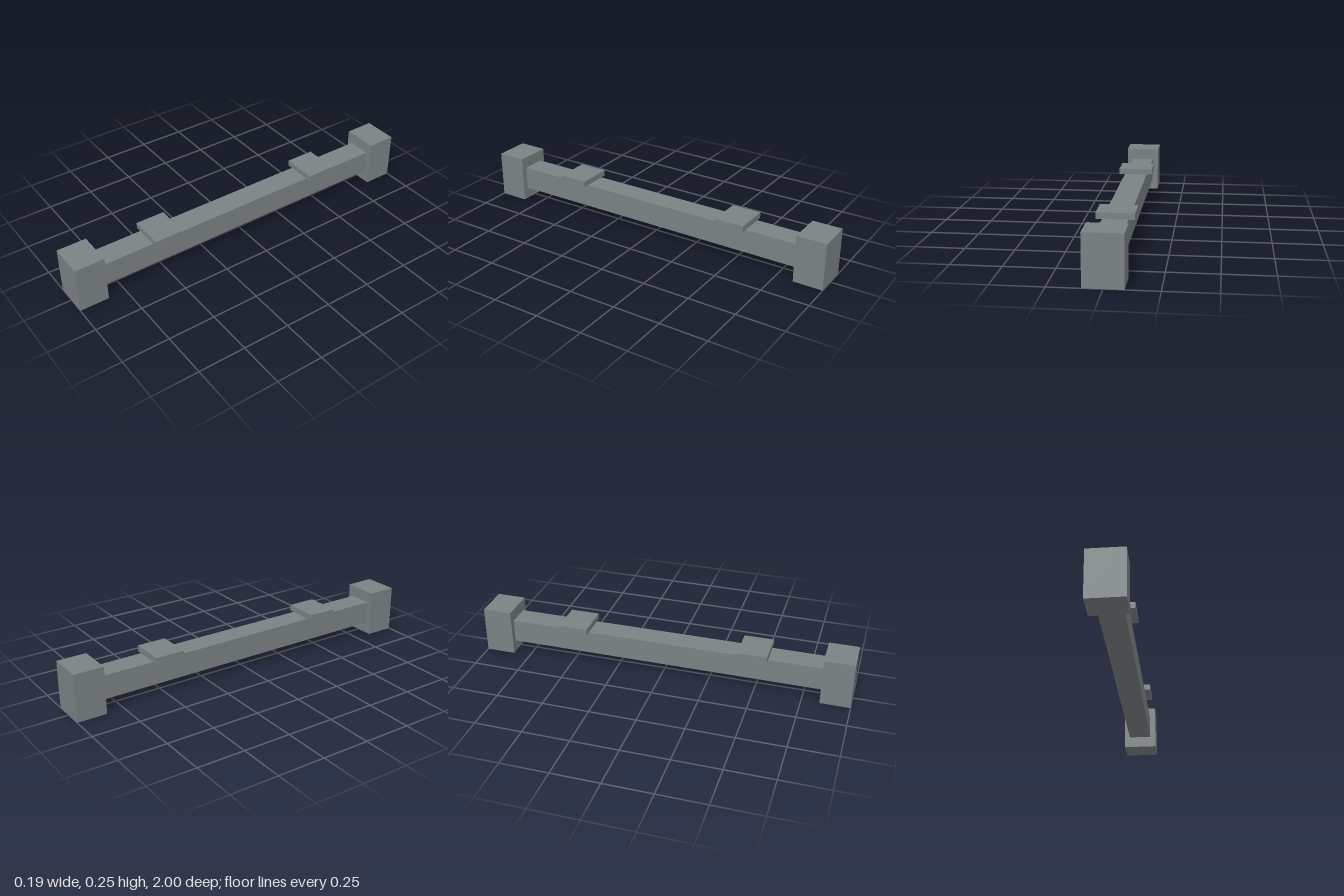
import * as THREE from 'three';

export function createModel() {
  const group = new THREE.Group();
  const steel = new THREE.MeshStandardMaterial({ color: 0x7a8284 });
  steel.name = 'steelGrey';

  // Box standing on height "bottom", centred on x = 0
  function addBox(name, width, height, depth, bottom, z) {
    const mesh = new THREE.Mesh(new THREE.BoxGeometry(width, height, depth), steel);
    mesh.name = name;
    mesh.position.set(0, bottom + height / 2, z);
    group.add(mesh);
  }

  // Long square beam between the end blocks
  addBox('beam', 0.125, 0.125, 1.6875, 0.0625, 0);

  // Mirrored end blocks and raised plates
  for (const [side, s] of [['front', 1], ['back', -1]]) {
    addBox(side + 'EndBlock', 0.1875, 0.25, 0.15625, 0, s * 0.921875);
    addBox(side + 'TopPlate', 0.1875, 0.03125, 0.15625, 0.1875, s * 0.484375);
  }
  return group;
}
